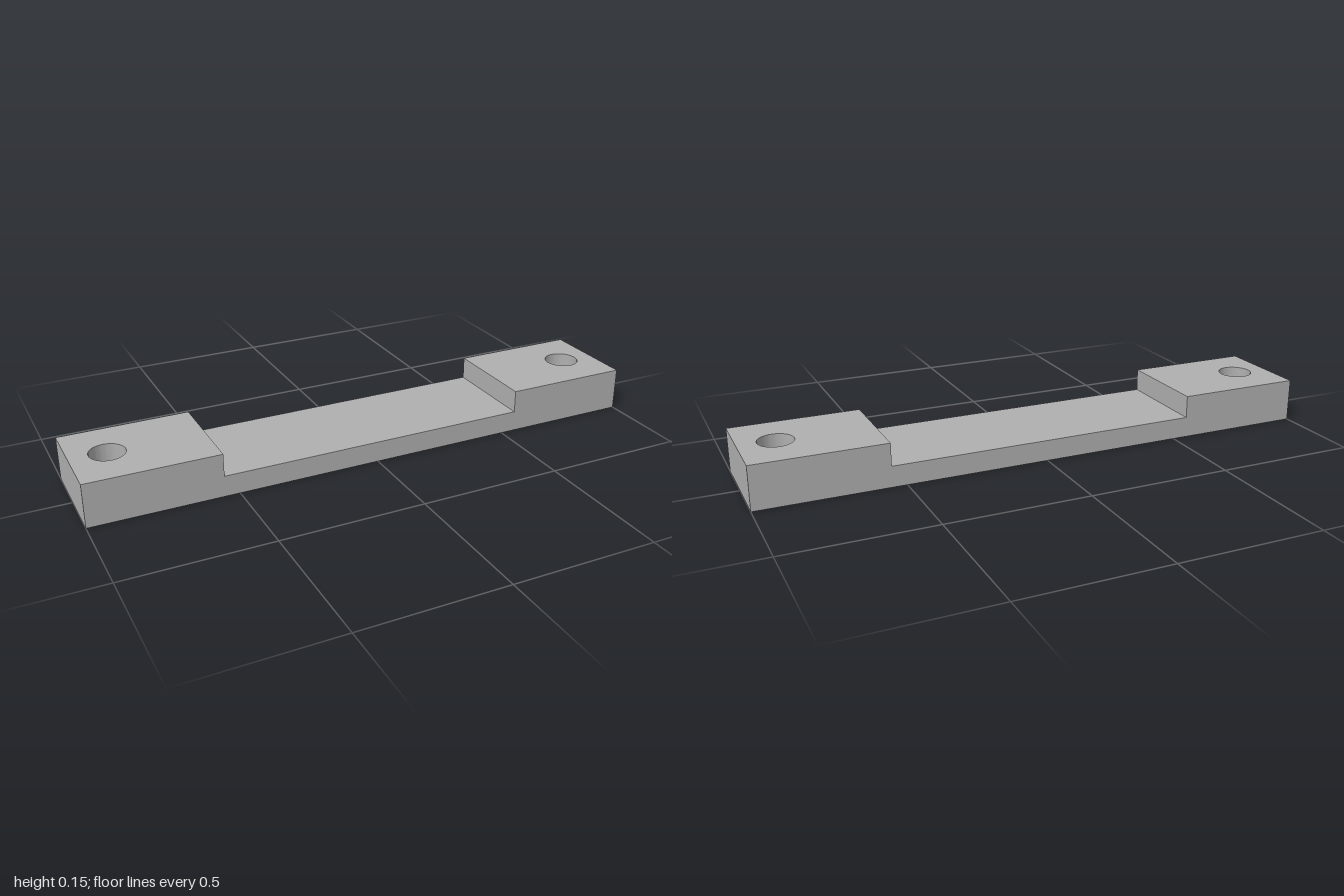
import * as THREE from 'three';
import { toCreasedNormals } from 'three/addons/utils/BufferGeometryUtils.js';

const HALF_LENGTH = 1, DEPTH = 0.352;
const BLOCK_INNER = 0.55, BLOCK_HEIGHT = 0.152, WEB_HEIGHT = 0.073;
const HOLE_X = 0.875, HOLE_RADIUS = 0.06;

// Raised end block with a vertical through hole
function createEndBlock(side, material) {
  const x0 = Math.min(side * BLOCK_INNER, side * HALF_LENGTH);
  const x1 = Math.max(side * BLOCK_INNER, side * HALF_LENGTH);
  const z = DEPTH / 2;
  const outline = new THREE.Shape([
    new THREE.Vector2(x0, -z), new THREE.Vector2(x1, -z),
    new THREE.Vector2(x1, z), new THREE.Vector2(x0, z),
  ]);
  const hole = new THREE.Path();
  hole.absarc(side * HOLE_X, 0, HOLE_RADIUS, 0, Math.PI * 2, true);
  outline.holes.push(hole);

  const geometry = new THREE.ExtrudeGeometry(outline, {
    depth: BLOCK_HEIGHT, bevelEnabled: false, curveSegments: 48,
  });
  geometry.rotateX(-Math.PI / 2);
  return new THREE.Mesh(toCreasedNormals(geometry, 0.6), material);
}

export function createModel() {
  const model = new THREE.Group();
  model.name = 'mountingBar';

  const grey = new THREE.MeshStandardMaterial({ color: 0xb0b0b0 });
  grey.name = 'grey';

  // Thin bar joining the two blocks
  const web = new THREE.Mesh(
    new THREE.BoxGeometry(BLOCK_INNER * 2, WEB_HEIGHT, DEPTH), grey);
  web.position.y = WEB_HEIGHT / 2;
  web.name = 'centreBar';
  model.add(web);

  // Mirrored end blocks
  for (const side of [-1, 1]) {
    const block = createEndBlock(side, grey);
    block.name = side > 0 ? 'leftEndBlock' : 'rightEndBlock';
    model.add(block);
  }
  return model;
}
